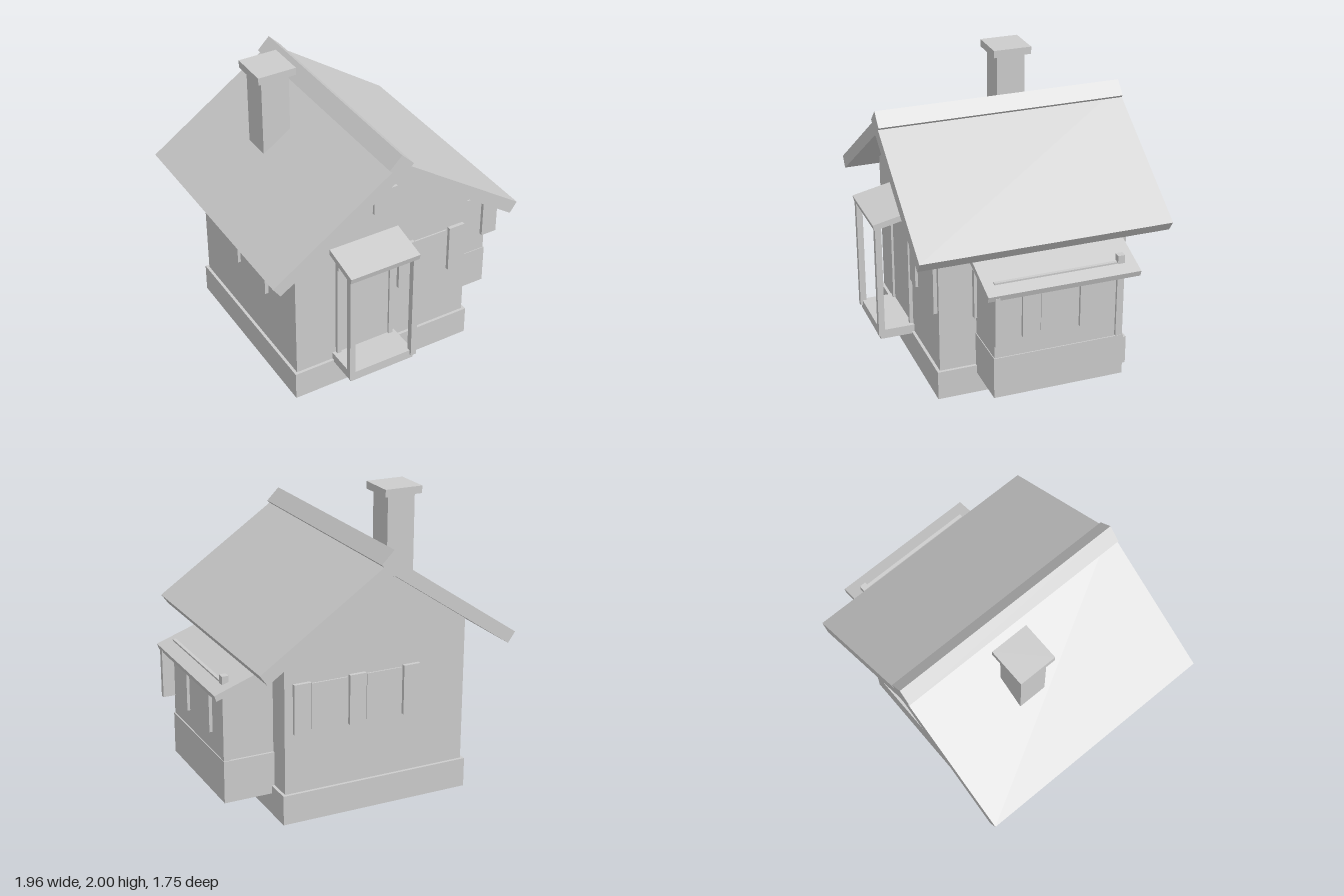
import * as THREE from 'three';

export function createModel() {
  const house = new THREE.Group();
  house.name = 'cottage';
  const plaster = new THREE.MeshStandardMaterial({ color: 0xcccccc });
  plaster.name = 'plaster grey';

  const add = (name, geometry, parent = house) => {
    const mesh = new THREE.Mesh(geometry, plaster);
    mesh.name = name;
    parent.add(mesh);
    return mesh;
  };
  // box given by its limits on each axis
  const box = (name, x0, x1, y0, y1, z0, z1, parent) => {
    const mesh = add(name, new THREE.BoxGeometry(x1 - x0, y1 - y0, z1 - z0), parent);
    mesh.position.set((x0 + x1) / 2, (y0 + y1) / 2, (z0 + z1) / 2);
    return mesh;
  };
  // profile in x, y pushed along z
  const prism = (name, points, z0, z1) => {
    const shape = new THREE.Shape(points.map(([x, y]) => new THREE.Vector2(x, y)));
    const geometry = new THREE.ExtrudeGeometry(shape, { depth: z1 - z0, bevelEnabled: false });
    return add(name, geometry.translate(0, 0, z0));
  };

  // base and gabled walls
  box('foundation', -0.75, 0.57, 0, 0.2, -0.695, 0.63);
  prism('walls', [[-0.73, 0.2], [0.55, 0.2], [0.55, 1.185], [-0.09, 1.62], [-0.73, 1.185]], -0.675, 0.61);

  // main roof and square ridge beam
  prism('roof', [[-0.98, 1.12], [-0.93, 1.05], [-0.09, 1.62], [0.75, 1.05], [0.8, 1.12], [-0.09, 1.724]], -0.88, 0.805);
  prism('ridgeBeam', [[-0.175, 1.695], [-0.09, 1.61], [-0.005, 1.695], [-0.09, 1.78]], -0.88, 0.805);

  // chimney
  box('chimneyStack', -0.545, -0.35, 1.3, 1.95, -0.312, -0.115);
  box('chimneyCap', -0.58, -0.315, 1.95, 2, -0.345, -0.082);

  // row of panes with shutters between them, facing local +z
  const windowRow = (name, panes, x, y, z, turn = 0) => {
    const row = new THREE.Group();
    row.name = name;
    const pitch = 0.385;
    for (let i = 0; i <= panes; i++) {
      const c = (i - panes / 2) * pitch;
      box('shutter', c - 0.058, c + 0.058, -0.168, 0.168, -0.01, 0.025, row);
      if (i < panes) {
        const p = c + pitch / 2;
        box('windowPane', p - 0.123, p + 0.123, -0.155, 0.155, -0.01, 0.01, row);
      }
    }
    row.position.set(x, y, z);
    row.rotation.y = turn;
    house.add(row);
  };
  windowRow('frontWindow', 1, 0.27, 0.773, 0.61);
  windowRow('rightWindow', 1, -0.73, 0.773, -0.005, -Math.PI / 2);
  windowRow('backWindows', 2, 0.05, 0.773, -0.675, Math.PI);
  box('gableWindow', -0.17, -0.003, 1.26, 1.425, 0.59, 0.63);

  // entrance
  box('doorPanel', -0.41, -0.05, 0.25, 0.935, 0.6, 0.62);
  for (const x of [-0.44, -0.05]) box('doorJamb', x, x + 0.03, 0.25, 0.935, 0.6, 0.635);
  box('doorLintel', -0.44, -0.02, 0.935, 0.98, 0.6, 0.648);
  box('porchStep', -0.465, 0.005, 0.185, 0.25, 0.6, 0.847);
  for (const x of [-0.48, -0.02]) box('porchPost', x, x + 0.04, 0.215, 1.02, 0.82, 0.862);
  // profile x becomes z, pushed across the doorway
  const porchRoof = prism('porchRoof', [[-0.875, 1.04], [-0.865, 1], [-0.58, 1.065], [-0.58, 1.105]], -0.48, 0.02);
  porchRoof.rotation.y = Math.PI / 2;

  // side bay
  box('bayBase', 0.5, 0.895, 0.145, 0.43, -0.515, 0.365);
  box('bayWalls', 0.5, 0.87, 0.43, 0.95, -0.5, 0.36);
  box('bayFrontPanel', 0.865, 0.888, 0.43, 0.957, -0.455, 0.36);
  box('bayCornerPost', 0.848, 0.892, 0.43, 1, -0.508, -0.462);
  prism('bayRoof', [[0.5, 1.082], [0.5, 1.04], [0.962, 0.876], [0.975, 0.915]], -0.585, 0.43);
  windowRow('bayFrontWindow', 1, 0.72, 0.727, 0.36);
  windowRow('baySideWindow', 1, 0.885, 0.727, -0.07, Math.PI / 2);

  return house;
}
